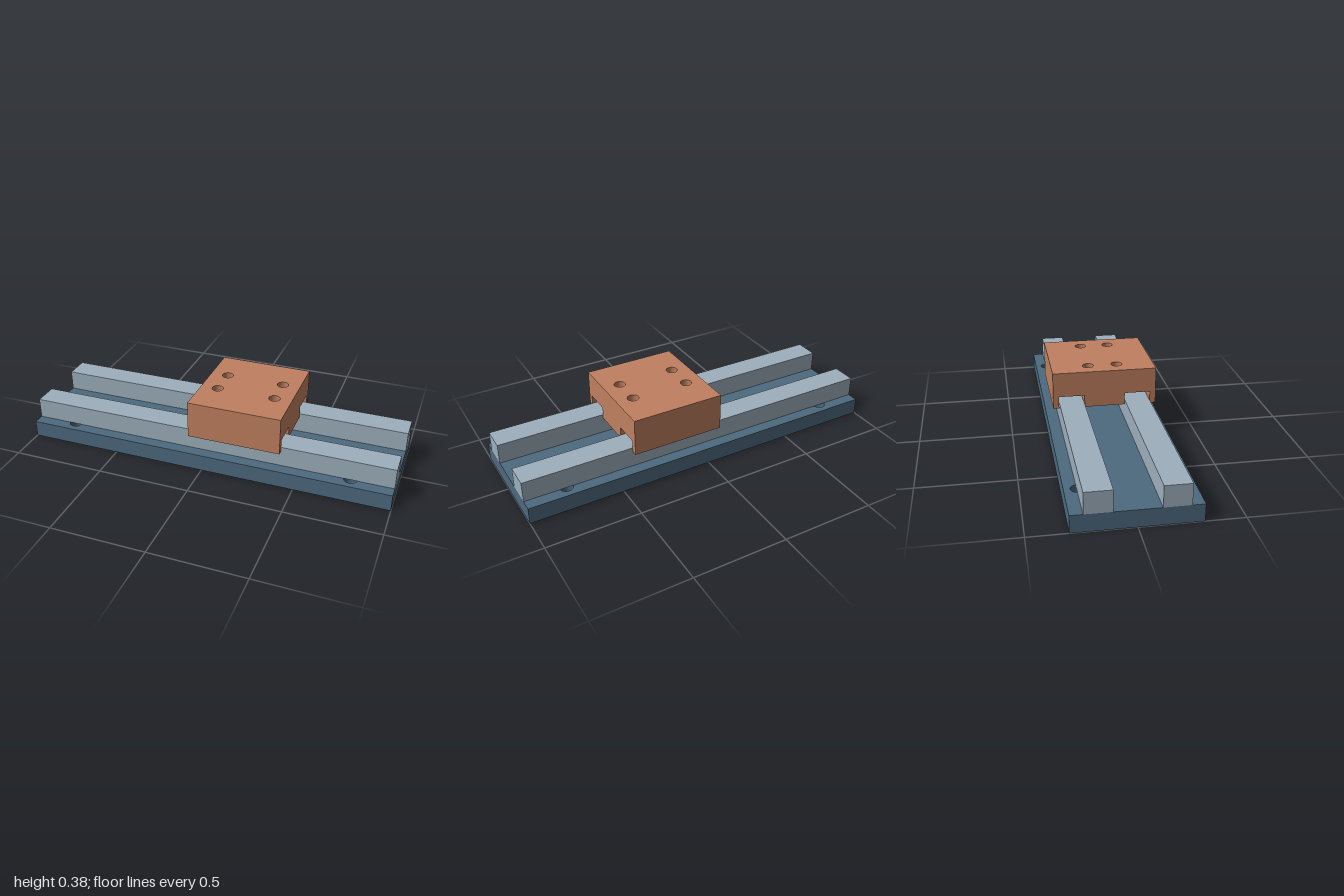
import * as THREE from 'three';

const baseBlue = new THREE.MeshStandardMaterial({ name: 'baseBlue', color: 0x4d6a7f });
const railGrey = new THREE.MeshStandardMaterial({ name: 'railGrey', color: 0x9dafbc });
const carriageCopper = new THREE.MeshStandardMaterial({ name: 'carriageCopper', color: 0xc08060 });

// Rectangular plate lying flat, with vertical round holes at +-hx, +-hz
function drilledPlate(width, depth, height, hx, hz, radius) {
  const w = width / 2, d = depth / 2;
  const shape = new THREE.Shape([
    new THREE.Vector2(-w, -d), new THREE.Vector2(w, -d),
    new THREE.Vector2(w, d), new THREE.Vector2(-w, d),
  ]);
  for (const sx of [-1, 1]) for (const sz of [-1, 1]) {
    shape.holes.push(new THREE.Path().absarc(sx * hx, sz * hz, radius, 0, Math.PI * 2, true));
  }
  const geometry = new THREE.ExtrudeGeometry(shape, { depth: height, bevelEnabled: false, curveSegments: 32 });
  return geometry.rotateX(-Math.PI / 2);
}

function addPart(parent, name, geometry, material, x, y, z) {
  const mesh = new THREE.Mesh(geometry, material);
  mesh.name = name;
  mesh.position.set(x, y, z);
  parent.add(mesh);
}

export function createModel() {
  const model = new THREE.Group();
  model.name = 'linearSlide';

  // Base plate with four mounting holes, partly under the rails
  addPart(model, 'basePlate', drilledPlate(2, 0.612, 0.09, 0.778, 0.24, 0.034), baseBlue, 0, 0, 0);

  // Two parallel guide rails
  for (const side of [-1, 1]) {
    addPart(model, side > 0 ? 'frontRail' : 'backRail',
      new THREE.BoxGeometry(2, 0.11, 0.133), railGrey, 0, 0.145, side * 0.1775);
  }

  // Sliding carriage: drilled top, drilled centre rib and two outer lips
  const carriage = new THREE.Group();
  carriage.name = 'carriage';
  carriage.position.set(0.166, 0.179, 0);
  const length = 0.498, rib = 0.066;
  addPart(carriage, 'carriageTop', drilledPlate(length, 0.556, 0.134, 0.156, 0.078, 0.03), carriageCopper, 0, rib, 0);
  addPart(carriage, 'centreRib', drilledPlate(length, 0.218, rib, 0.156, 0.078, 0.03), carriageCopper, 0, 0, 0);
  for (const side of [-1, 1]) {
    addPart(carriage, side > 0 ? 'frontLip' : 'backLip',
      new THREE.BoxGeometry(length, rib, 0.031), carriageCopper, 0, rib / 2, side * 0.2625);
  }
  model.add(carriage);
  return model;
}
